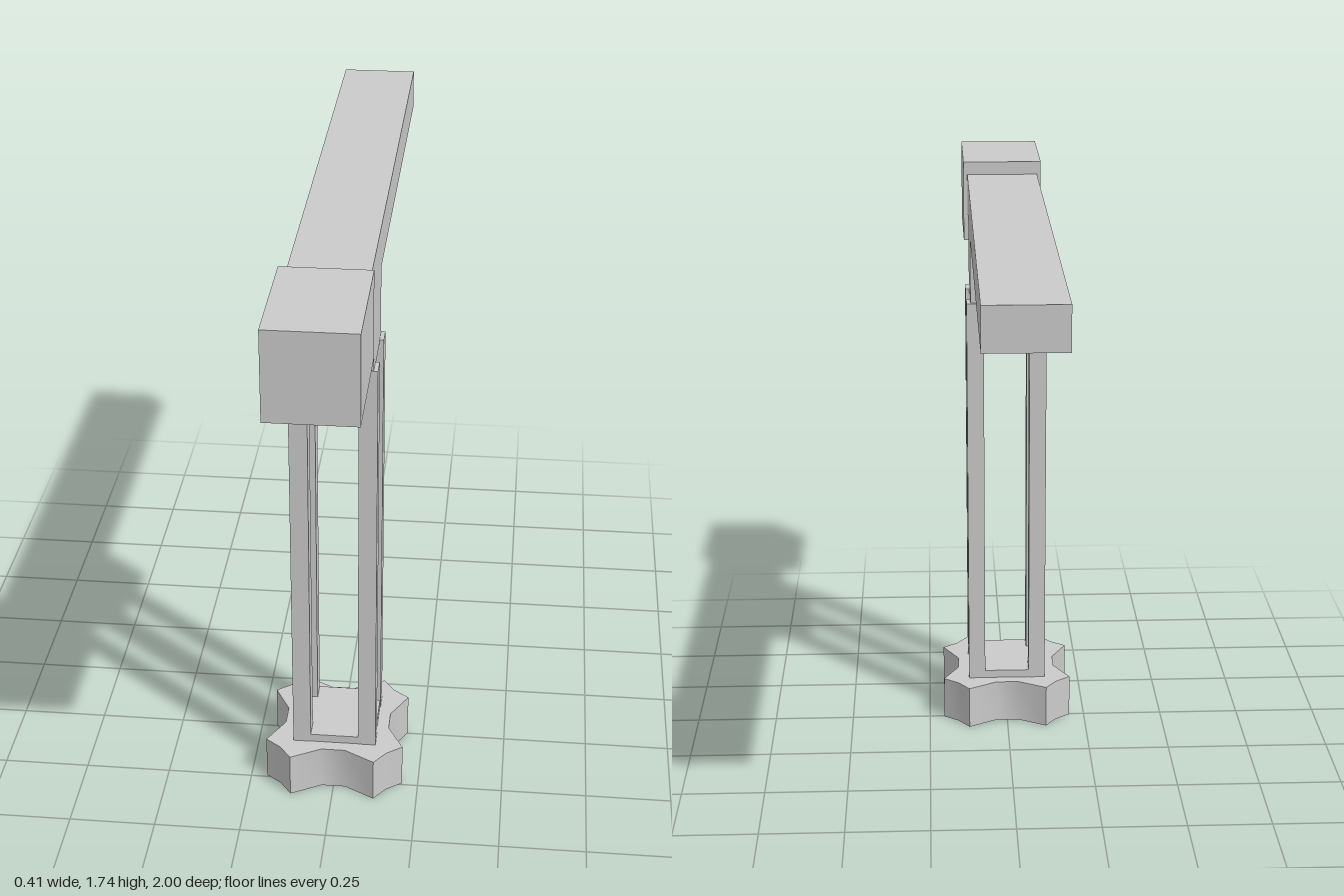
import * as THREE from 'three';
import { toCreasedNormals } from 'three/addons/utils/BufferGeometryUtils.js';

export function createModel() {
  const model = new THREE.Group();
  const material = new THREE.MeshStandardMaterial({ color: 0xcccccc });
  const axisZ = 0.37; // centre line of the upright tower

  const add = (name, geometry) => {
    const mesh = new THREE.Mesh(geometry, material);
    mesh.name = name;
    model.add(mesh);
    return mesh;
  };

  // Box given by its [min, max] extents on each axis
  const box = (name, [x0, x1], [y0, y1], [z0, z1]) =>
    add(name, new THREE.BoxGeometry(x1 - x0, y1 - y0, z1 - z0))
      .position.set((x0 + x1) / 2, (y0 + y1) / 2, (z0 + z1) / 2);

  // Four-lobed base: one quarter of the outline, repeated by quarter turns
  const quarter = [[0.155, -0.035], [0.155, 0.035], [0.203, 0.123], [0.157, 0.157], [0.123, 0.203]];
  const outline = [];
  for (let i = 0; i < 4; i++) {
    for (const [x, y] of quarter) {
      outline.push(new THREE.Vector2(x, y).rotateAround(new THREE.Vector2(), i * Math.PI / 2));
    }
  }
  const baseGeometry = new THREE.ExtrudeGeometry(new THREE.Shape(outline), { depth: 0.135, bevelEnabled: false });
  baseGeometry.rotateX(-Math.PI / 2);
  add('base', toCreasedNormals(baseGeometry, 0.6)).position.z = axisZ;

  // Upright tower: floor plate and four posts
  box('floorPlate', [-0.12, 0.12], [0.13, 0.16], [0.25, 0.49]);
  for (const sx of [-1, 1]) {
    for (const sz of [-1, 1]) {
      const post = add('post', new THREE.BoxGeometry(0.052, 1.25, 0.055));
      post.position.set(sx * 0.096, 0.755, axisZ + sz * 0.0935);
    }
  }

  // Tower head, rear counterweight, long beam and front block
  box('towerHead', [-0.11, 0.11], [1.37, 1.6], [0.26, 0.488]);
  box('rearBlock', [-0.082, 0.082], [1.295, 1.545], [0.11, 0.262]);
  box('beam', [-0.11, 0.11], [1.58, 1.7], [-1, 0.65]);
  box('frontBlock', [-0.122, 0.122], [1.49, 1.74], [0.635, 1]);

  return model;
}
